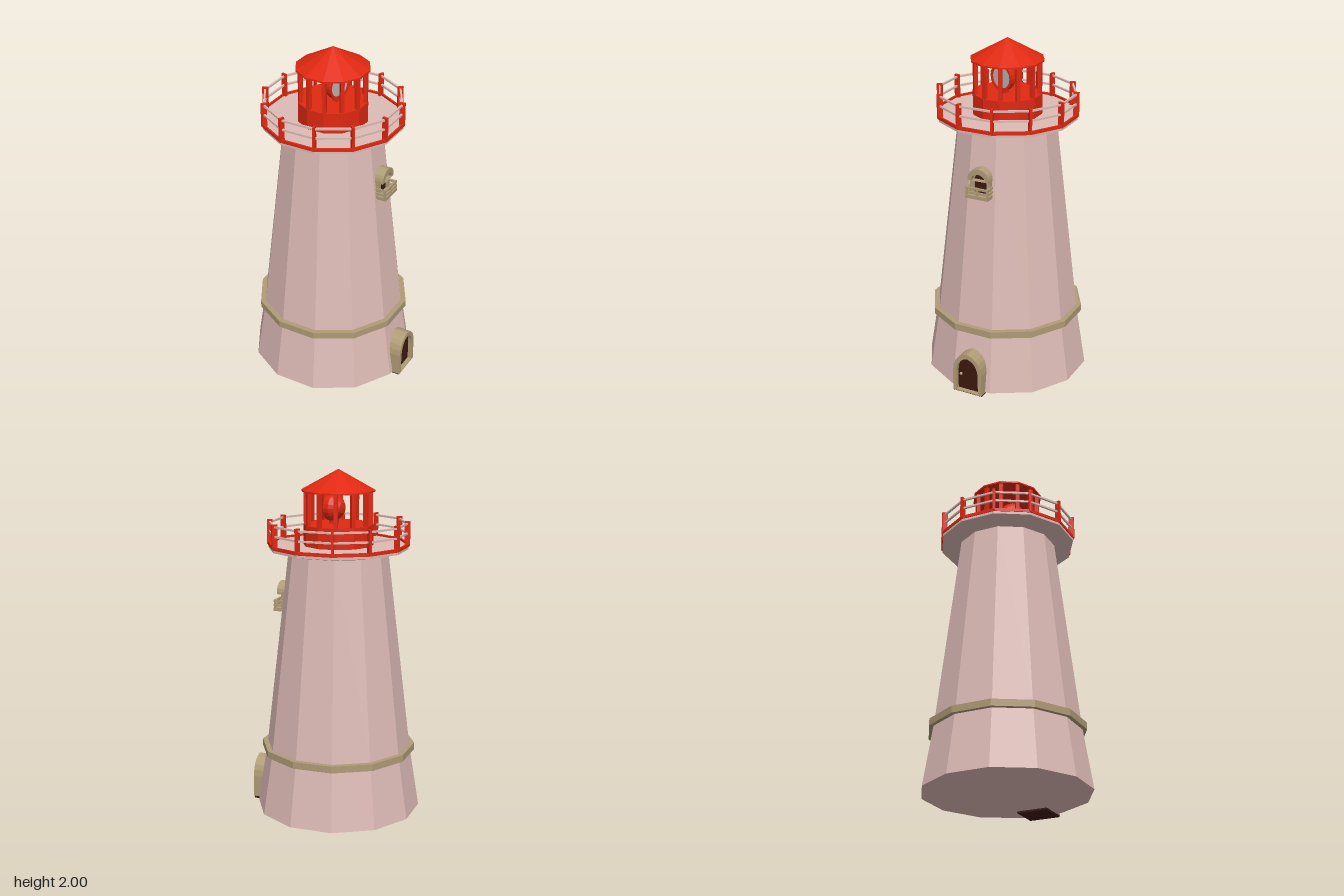
import * as THREE from 'three';

const SIDES = 12;
const mat = (color) => new THREE.MeshStandardMaterial({ color, flatShading: true });
const stone = mat(0xdcbab5), tan = mat(0xb09c76), red = mat(0xe02811);
const dark = mat(0x3c1a10), glass = mat(0xb9b4b1);

function add(parent, name, geometry, material, x = 0, y = 0, z = 0) {
  const mesh = new THREE.Mesh(geometry, material);
  mesh.name = name;
  mesh.position.set(x, y, z);
  parent.add(mesh);
  return mesh;
}

const box = (w, h, d) => new THREE.BoxGeometry(w, h, d);

// Twelve-sided solid turned from [radius, height] pairs
const turned = (points, sides = SIDES) =>
  new THREE.LatheGeometry(points.map(([r, y]) => new THREE.Vector2(r, y)), sides);

// Closed band with a rectangular section
const band = (inner, outer, y0, y1) =>
  turned([[outer, y0], [outer, y1], [inner, y1], [inner, y0], [outer, y0]]);

// Slightly pointed arch outline standing on y0
function arch(Type, w, y0, spring, top) {
  const p = new Type();
  const shoulder = spring + (top - spring) * 0.85;
  p.moveTo(-w / 2, y0);
  p.lineTo(w / 2, y0);
  p.lineTo(w / 2, spring);
  p.quadraticCurveTo(w * 0.46, shoulder, 0, top);
  p.quadraticCurveTo(-w * 0.46, shoulder, -w / 2, spring);
  p.lineTo(-w / 2, y0);
  return p;
}

const extrude = (shape, depth) =>
  new THREE.ExtrudeGeometry(shape, { depth, bevelEnabled: false, curveSegments: 5 });

function archFrame(outer, inner, depth) {
  const shape = arch(THREE.Shape, ...outer);
  shape.holes.push(arch(THREE.Path, ...inner));
  return extrude(shape, depth);
}

// Repeats a box around the axis
function posts(parent, name, size, radius, y) {
  const group = new THREE.Group();
  group.name = name;
  for (let i = 0; i < SIDES; i++) {
    const a = (i / SIDES) * Math.PI * 2;
    const post = add(group, 'post', box(...size), red, Math.sin(a) * radius, y, Math.cos(a) * radius);
    post.rotation.y = a;
  }
  parent.add(group);
}

function buildDoor() {
  const door = new THREE.Group();
  door.name = 'door';
  add(door, 'doorFrame', archFrame([0.185, 0.005, 0.14, 0.257], [0.14, 0.013, 0.13, 0.228], 0.12), tan, 0, 0, 0.39);
  add(door, 'doorPanel', extrude(arch(THREE.Shape, 0.15, 0.01, 0.13, 0.233), 0.06), dark, 0, 0, 0.425);
  add(door, 'threshold', box(0.185, 0.012, 0.18), dark, 0, 0.006, 0.415);
  add(door, 'doorKnob', new THREE.SphereGeometry(0.009, 8, 6), tan, -0.05, 0.11, 0.49);
  return door;
}

function buildWindow() {
  const win = new THREE.Group();
  win.name = 'window';
  add(win, 'windowFrame', archFrame([0.125, 1.17, 1.275, 1.335], [0.08, 1.19, 1.265, 1.307], 0.06), tan, 0, 0, 0.27);
  add(win, 'windowPane', extrude(arch(THREE.Shape, 0.09, 1.18, 1.265, 1.312), 0.05), dark, 0, 0, 0.268);

  // Projecting hood over the arch
  const hood = arch(THREE.Shape, 0.13, 1.27, 1.285, 1.342);
  hood.holes.push(arch(THREE.Path, 0.085, 1.2701, 1.275, 1.31));
  add(win, 'windowHood', extrude(hood, 0.08), tan, 0, 0, 0.275);

  // Little balcony with two rails
  add(win, 'balconyFloor', box(0.14, 0.02, 0.1), tan, 0, 1.18, 0.325);
  for (const y of [1.205, 1.23]) {
    add(win, 'balconyRail', box(0.14, 0.012, 0.012), tan, 0, y, 0.369);
    for (const s of [-1, 1]) add(win, 'balconySideRail', box(0.012, 0.012, 0.09), tan, s * 0.064, y, 0.325);
  }
  for (const x of [-0.064, 0, 0.064]) add(win, 'balconyPost', box(0.012, 0.055, 0.01), tan, x, 1.21, 0.368);
  return win;
}

function buildLantern() {
  const lantern = new THREE.Group();
  lantern.name = 'lantern';
  add(lantern, 'lanternBase', turned([[0, 1.57], [0.2, 1.57], [0.2, 1.69], [0, 1.69]]), red);
  posts(lantern, 'lanternPosts', [0.022, 0.2, 0.022], 0.185, 1.785);
  add(lantern, 'roof', turned([[0, 1.875], [0.21, 1.875], [0.21, 1.884], [0, 2]]), red);

  // Lamp facing forward on a short stand
  const lamp = new THREE.Group();
  lamp.name = 'lamp';
  lamp.position.set(0, 1.782, 0);
  lamp.rotation.x = Math.PI / 2;
  add(lamp, 'lampHousing', turned([[0, -0.035], [0.03, -0.03], [0.06, -0.005], [0.077, 0.02],
    [0.077, 0.055], [0.064, 0.055], [0.064, 0.045]], 20), red);
  add(lamp, 'lampLens', new THREE.CylinderGeometry(0.066, 0.066, 0.01, 20), glass, 0, 0.043, 0);
  lantern.add(lamp);
  add(lantern, 'lampStand', box(0.04, 0.04, 0.04), red, 0, 1.703, 0.03);
  return lantern;
}

export function createModel() {
  const model = new THREE.Group();
  model.name = 'lighthouse';
  const body = new THREE.Group();
  body.name = 'body';
  body.position.z = -0.02;
  model.add(body);

  // Tapered tower and its stone band
  add(body, 'tower', turned([[0, 0.01], [0.48, 0.01], [0.422, 0.375], [0.285, 1.54]]), stone);
  add(body, 'towerBand', band(0.4, 0.45, 0.355, 0.395), tan);

  // Gallery platform and railing
  add(body, 'platform', turned([[0, 1.53], [0.3, 1.53], [0.4, 1.55], [0.4, 1.572], [0, 1.572]]), stone);
  add(body, 'platformEdge', band(0.393, 0.404, 1.565, 1.584), red);
  posts(body, 'railingPosts', [0.014, 0.14, 0.032], 0.392, 1.64);
  for (const y of [1.635, 1.69]) add(body, 'railing', band(0.386, 0.397, y, y + 0.011), stone);

  body.add(buildLantern());

  // Door and window sit on the face between two corners
  for (const part of [buildDoor(), buildWindow()]) {
    part.rotation.y = Math.PI / SIDES;
    body.add(part);
  }
  return model;
}
